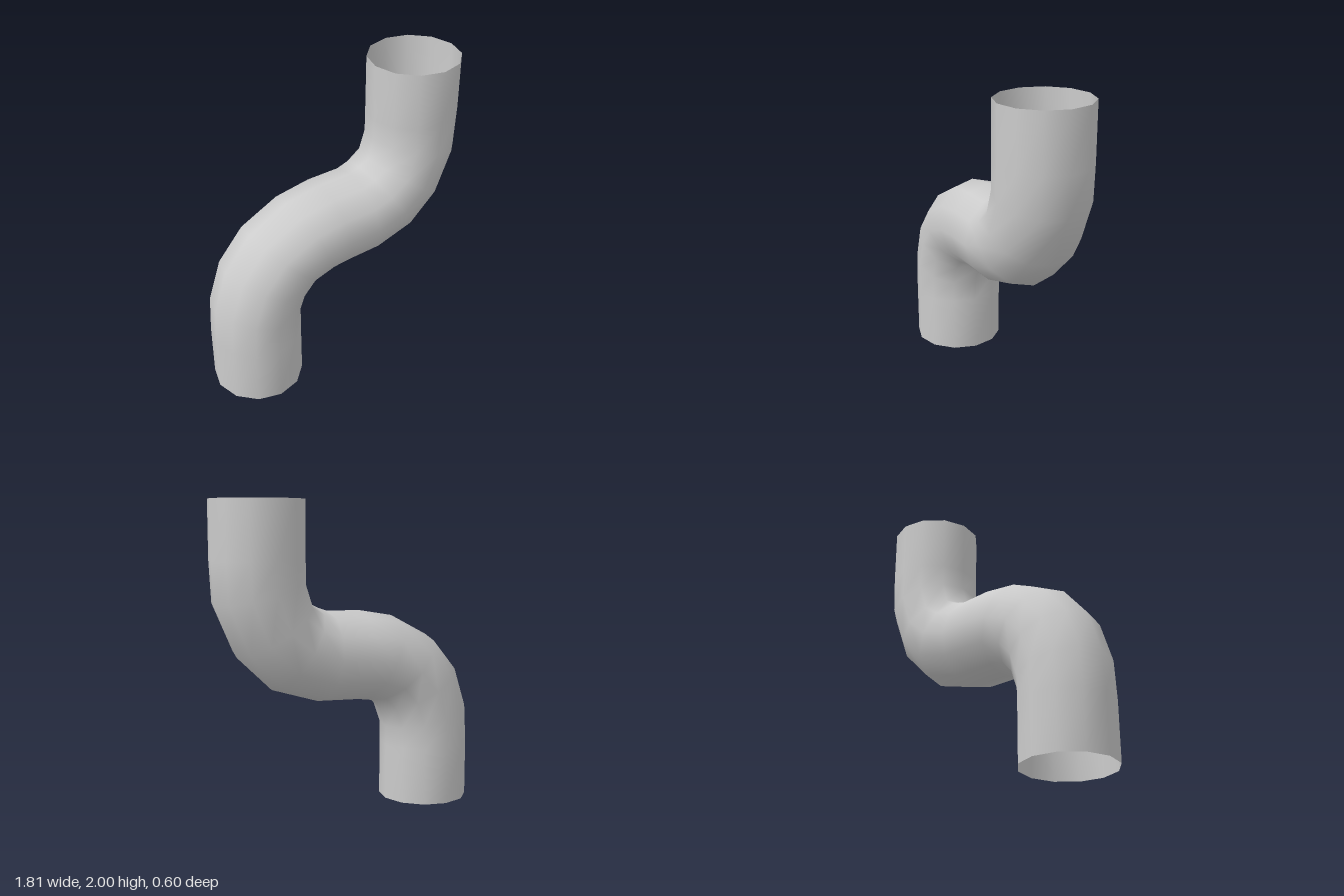
import * as THREE from 'three';

const SIDES = 12;
const Z_RADIUS = 0.298;

// Each ring spans the pipe from its left edge to its right edge: [x1, y1, x2, y2]
const RINGS = [
  [-0.905, 0, -0.315, 0],
  [-0.905, 0.37, -0.315, 0.37],
  [-0.89, 0.63, -0.315, 0.5],
  [-0.8, 0.9, -0.27, 0.62],
  [-0.62, 1.11, -0.2, 0.69],
  [-0.35, 1.25, -0.1, 0.705],
  [-0.1, 1.295, 0.0, 0.71],
  [0.13, 1.3, 0.2, 0.72],
  [0.2, 1.325, 0.52, 0.82],
  [0.27, 1.36, 0.75, 1.04],
  [0.31, 1.49, 0.89, 1.36],
  [0.31, 1.63, 0.905, 1.63],
  [0.31, 2, 0.905, 2],
];

// Skins the rings into an open tube with smooth normals
function skinRings(rings) {
  const positions = [];
  const indices = [];
  rings.forEach(([x1, y1, x2, y2], i) => {
    for (let j = 0; j < SIDES; j++) {
      const angle = (j / SIDES) * Math.PI * 2;
      const t = (1 + Math.cos(angle)) / 2;
      positions.push(x1 + (x2 - x1) * t, y1 + (y2 - y1) * t, Z_RADIUS * Math.sin(angle));
      if (i === rings.length - 1) continue;
      const a = i * SIDES + j;
      const b = i * SIDES + ((j + 1) % SIDES);
      indices.push(a, a + SIDES, b, b, a + SIDES, b + SIDES);
    }
  });
  const geometry = new THREE.BufferGeometry();
  geometry.setAttribute('position', new THREE.Float32BufferAttribute(positions, 3));
  geometry.setIndex(indices);
  geometry.computeVertexNormals();
  return geometry;
}

export function createModel() {
  const group = new THREE.Group();
  group.name = 'offsetPipe';

  // Thin-walled S-bend, open at both ends
  const material = new THREE.MeshStandardMaterial({ color: 0xcccccc, side: THREE.DoubleSide });
  const pipe = new THREE.Mesh(skinRings(RINGS), material);
  pipe.name = 'pipe';
  group.add(pipe);

  return group;
}
